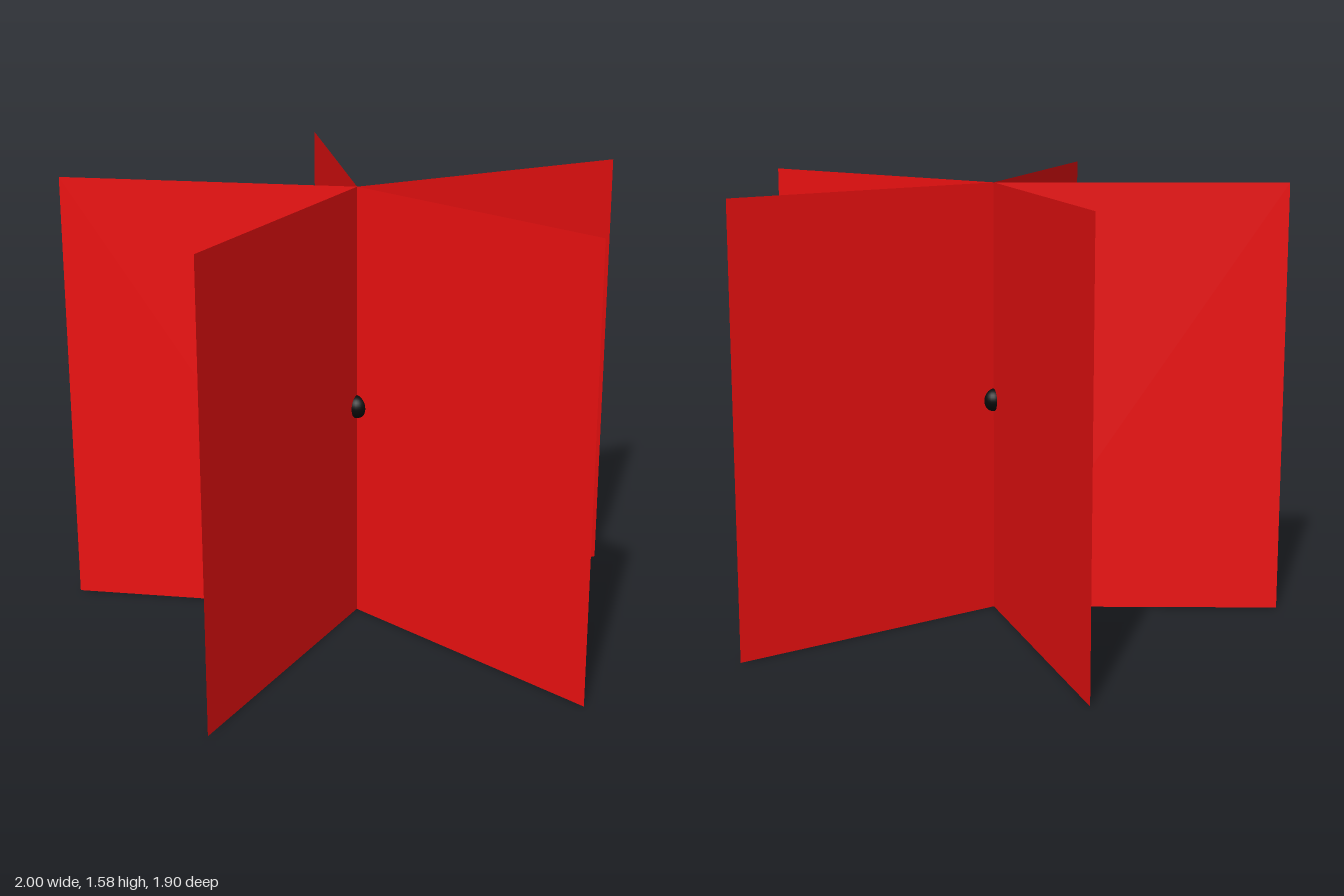
import * as THREE from 'three';

const HEIGHT = 1.577;   // height of every panel
const RADIUS = 1.0515;  // panel width, from axis to outer edge
const AXIS_Z = 0.1;     // the shared axis sits slightly forward of centre
const COUNT = 5;

export function createModel() {
  const model = new THREE.Group();
  model.name = 'radialPanels';

  const red = new THREE.MeshStandardMaterial({ color: 0xee1111, side: THREE.DoubleSide });
  const black = new THREE.MeshStandardMaterial({ color: 0x0a0a0a });

  // Everything is arranged around the vertical axis
  const hub = new THREE.Group();
  hub.name = 'hub';
  hub.position.set(0, HEIGHT / 2, AXIS_Z);
  model.add(hub);

  // Five paper-thin panels fanned evenly, the first pointing straight back
  const panelGeometry = new THREE.PlaneGeometry(RADIUS, HEIGHT).translate(RADIUS / 2, 0, 0);
  for (let i = 0; i < COUNT; i++) {
    const panel = new THREE.Mesh(panelGeometry, red);
    panel.name = `panel${i + 1}`;
    panel.rotation.y = Math.PI / 2 + (i * 2 * Math.PI) / COUNT;
    hub.add(panel);
  }

  // Small ball at the middle of the axis
  const ball = new THREE.Mesh(new THREE.SphereGeometry(0.042, 24, 16), black);
  ball.name = 'centreBall';
  hub.add(ball);

  return model;
}
